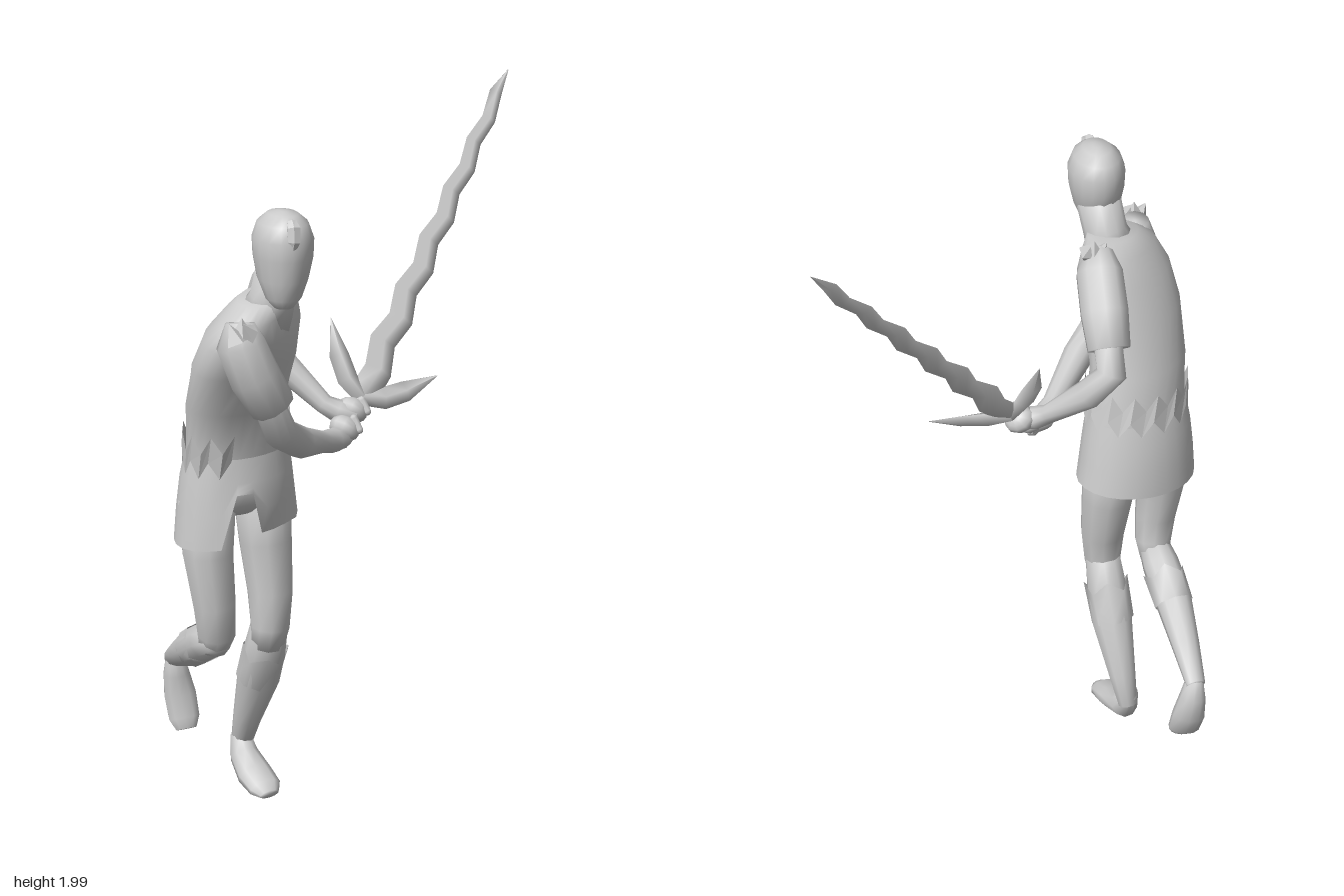
import * as THREE from 'three';

const V = (x, y, z) => new THREE.Vector3(x, y, z);
const material = new THREE.MeshStandardMaterial({ color: 0xcccccc, side: THREE.DoubleSide });
const facetMaterial = new THREE.MeshStandardMaterial({ color: 0xcccccc, side: THREE.DoubleSide, flatShading: true });

function addMesh(parent, name, geometry, mat = material) {
  const mesh = new THREE.Mesh(geometry, mat);
  mesh.name = name;
  parent.add(mesh);
  return mesh;
}

// Skin a stack of equal rings, optionally capped; skip leaves faces out
function loft(rings, { caps = true, skip = () => false } = {}) {
  const n = rings[0].length, pos = [], idx = [];
  rings.forEach(r => r.forEach(p => pos.push(p.x, p.y, p.z)));
  for (let i = 0; i < rings.length - 1; i++) for (let j = 0; j < n; j++) {
    if (skip(j, n)) continue;
    const k = (j + 1) % n, a = i * n + j, b = i * n + k;
    idx.push(a, b, b + n, a, b + n, a + n);
  }
  if (caps) [0, rings.length - 1].forEach((i, end) => {
    const c = rings[i].reduce((s, p) => s.add(p), V(0, 0, 0)).divideScalar(n);
    const centre = pos.length / 3;
    pos.push(c.x, c.y, c.z);
    for (let j = 0; j < n; j++) {
      const a = i * n + j, b = i * n + (j + 1) % n;
      end ? idx.push(a, b, centre) : idx.push(b, a, centre);
    }
  });
  const g = new THREE.BufferGeometry();
  g.setAttribute('position', new THREE.Float32BufferAttribute(pos, 3));
  g.setIndex(idx);
  g.computeVertexNormals();
  return g;
}

// Rings square to a path of [x, y, z, radius, radius along ref]
function limbRings(path, sides = 10, ref = V(1, 0, 0)) {
  return path.map((p, i) => {
    const q = path[Math.max(i - 1, 0)], r = path[Math.min(i + 1, path.length - 1)];
    const t = V(r[0] - q[0], r[1] - q[1], r[2] - q[2]).normalize();
    const v = ref.clone().addScaledVector(t, -ref.dot(t)).normalize();
    const u = v.clone().cross(t);
    return Array.from({ length: sides }, (_, j) => {
      const a = j / sides * Math.PI * 2;
      return V(p[0], p[1], p[2]).addScaledVector(u, Math.cos(a) * p[3])
        .addScaledVector(v, Math.sin(a) * (p[4] ?? p[3]));
    });
  });
}
const limb = (path, sides, ref) => loft(limbRings(path, sides, ref));

// Level ring, vertex 0 at the front: height, centre, yaw, half width, half depth, side slope
function bodyRing([y, x, z, yaw, w, d, slope = 0], sides = 24) {
  const s = Math.sin(yaw * Math.PI / 180), c = Math.cos(yaw * Math.PI / 180);
  return Array.from({ length: sides }, (_, j) => {
    const a = j / sides * Math.PI * 2, f = Math.cos(a) * d, l = Math.sin(a) * w;
    return V(x + s * f + c * l, y + slope * l, z + c * f - s * l);
  });
}

function buildBody(model) {
  addMesh(model, 'torso', loft([
    [1.0, -0.345, 0.16, 35, 0.168, 0.122], [1.1, -0.34, 0.165, 36, 0.158, 0.115],
    [1.24, -0.345, 0.205, 44, 0.158, 0.12], [1.38, -0.325, 0.265, 56, 0.178, 0.13, 0.08],
    [1.48, -0.305, 0.3, 62, 0.192, 0.118, 0.15], [1.54, -0.29, 0.32, 62, 0.175, 0.085, 0.18],
    [1.575, -0.275, 0.335, 55, 0.09, 0.065, 0.12],
  ].map(r => bodyRing(r))));

  // Short skirt, split at the front, its left flap tucked in
  const skirt = [
    [0.86, -0.345, 0.155, 35, 0.193, 0.143, 0.12], [0.95, -0.345, 0.158, 35, 0.183, 0.138, 0.06],
    [1.03, -0.343, 0.16, 35, 0.173, 0.13], [1.1, -0.34, 0.165, 36, 0.162, 0.118],
  ].map(r => bodyRing(r));
  for (const j of [22, 23]) {
    skirt[0][j].y = 1.0;
    skirt[1][j].y = 1.015;
  }
  for (const j of [0, 1, 2]) skirt[0][j].lerp(V(-0.33, 0.88, 0.16), 0.25 - j * 0.07);
  addMesh(model, 'skirt', loft(skirt, { caps: false }));
  addMesh(model, 'pelvis', loft([
    [0.91, -0.345, 0.165, 35, 0.06, 0.05], [0.95, -0.345, 0.165, 35, 0.13, 0.09],
    [1.04, -0.345, 0.16, 35, 0.16, 0.115],
  ].map(r => bodyRing(r, 14))));

  // Zigzag sash round the sides and back
  const sash = [
    [1.085, -0.34, 0.165, 36, 0.169, 0.128, 0.1], [1.165, -0.342, 0.183, 40, 0.17, 0.13, 0.1],
  ].map(r => bodyRing(r, 28));
  sash.forEach(r => r.forEach((p, j) => { p.y += j % 2 ? 0.024 : -0.024; }));
  addMesh(model, 'sash', loft(sash, { caps: false, skip: (j, n) => j < 3 || j > n - 4 }), facetMaterial);
}

function buildHead(model) {
  addMesh(model, 'neck', limb([
    [-0.277, 1.51, 0.34, 0.078], [-0.255, 1.57, 0.355, 0.063], [-0.235, 1.66, 0.375, 0.064],
  ], 12));
  addMesh(model, 'head', loft([
    [1.565, -0.232, 0.425, 10, 0.026, 0.03], [1.59, -0.232, 0.418, 10, 0.048, 0.056],
    [1.64, -0.232, 0.405, 10, 0.067, 0.083], [1.7, -0.23, 0.4, 10, 0.079, 0.097],
    [1.75, -0.23, 0.402, 10, 0.081, 0.1], [1.79, -0.23, 0.4, 10, 0.067, 0.087],
    [1.813, -0.23, 0.4, 10, 0.04, 0.055], [1.82, -0.23, 0.4, 10, 0.012, 0.018],
  ].map(r => bodyRing(r, 16))));
  // Brow ornament: a long faceted plate
  addMesh(model, 'browOrnament', limb([
    [-0.214, 1.73, 0.487, 0.01, 0.008], [-0.21, 1.755, 0.492, 0.014, 0.018],
    [-0.21, 1.79, 0.485, 0.016, 0.02], [-0.213, 1.805, 0.47, 0.01, 0.012],
  ], 6), facetMaterial);
}

function buildArm(model, side, sleeve, forearm) {
  const arm = new THREE.Group();
  arm.name = side + 'Arm';
  addMesh(arm, 'sleeve', limb(sleeve));
  addMesh(arm, 'forearm', limb(forearm));
  model.add(arm);
}

// Cluster of blunt points on the shoulder
function buildShoulderSpikes(model, side, [x, y, z]) {
  const group = new THREE.Group();
  group.name = side + 'ShoulderSpikes';
  group.position.set(x, y, z);
  [-1, 0, 1].forEach(i => {
    const spike = addMesh(group, 'spike', new THREE.ConeGeometry(0.032, 0.055, 4), facetMaterial);
    spike.position.set(i * 0.024, 0.002 - Math.abs(i) * 0.01, -i * 0.016);
    spike.rotation.set(-i * 0.6, i, -i * 0.8);
  });
  model.add(group);
}

function buildLeg(model, side, thigh, shin, cuff, foot) {
  const leg = new THREE.Group();
  leg.name = side + 'Leg';
  addMesh(leg, 'thigh', limb(thigh));
  addMesh(leg, 'shin', limb(shin));
  addMesh(leg, 'foot', limb(foot));
  // Boot cuff with a pointed rim
  const rings = limbRings(cuff, 8);
  const up = V(cuff[0][0] - cuff[1][0], cuff[0][1] - cuff[1][1], cuff[0][2] - cuff[1][2]);
  rings[0].forEach((p, j) => p.addScaledVector(up, j % 2 ? -0.12 : 0.2));
  addMesh(leg, 'bootCuff', loft(rings, { caps: false }));
  model.add(leg);
}

function buildSword(model) {
  const sword = new THREE.Group();
  sword.name = 'sword';
  const base = V(-0.03, 1.08, 0.08), tip = V(0.54, 2, -0.55);
  const length = base.distanceTo(tip), axis = tip.clone().sub(base).normalize();
  const across = V(0.864, -0.504, 0.043);
  across.addScaledVector(axis, -across.dot(axis)).normalize();
  sword.applyMatrix4(new THREE.Matrix4().makeBasis(across, axis, across.clone().cross(axis)).setPosition(base));

  // Wavy blade with a diamond section that swells at every other bend
  const steps = 13, start = 0.14, rings = [];
  for (let i = 0; i <= steps; i++) {
    const t = i / steps, w = i === steps ? 0.001 : 0.044 * (1 - 0.6 * t);
    const shift = i === 0 || i === steps ? 0 : (i % 2 ? 1 : -1) * 0.012 * (1 - 0.5 * t);
    const y = start + (length - start) * t, d = w * (i % 2 ? 0.65 : 0.4);
    rings.push([V(shift, y, d), V(shift + w, y, 0), V(shift, y, -d), V(shift - w, y, 0)]);
  }
  addMesh(sword, 'blade', loft(rings));

  for (const s of [-1, 1]) addMesh(sword, 'guardWing', limb([
    [0, 0.13, 0, 0.022, 0.024], [s * 0.06, 0.16, 0, 0.032, 0.022],
    [s * 0.11, 0.21, 0, 0.03, 0.016], [s * 0.178, 0.298, 0, 0.001, 0.001],
  ], 4, V(0, 0, 1)));

  addMesh(sword, 'grip', new THREE.CylinderGeometry(0.016, 0.016, 0.16, 8)).position.y = 0.07;
  addMesh(sword, 'pommel', new THREE.SphereGeometry(0.022, 8, 6)).position.y = -0.012;

  // Fists closed round the grip: side, height, depth
  for (const [name, x, y, z] of [['rightFist', -0.012, 0.022, 0.012], ['leftFist', -0.008, 0.088, -0.008]]) {
    const fist = addMesh(sword, name, new THREE.SphereGeometry(1, 10, 8));
    fist.position.set(x, y, z);
    fist.scale.set(0.046, 0.035, 0.04);
    const thumb = addMesh(sword, name + 'Thumb', new THREE.CapsuleGeometry(0.012, 0.035, 3, 8));
    thumb.position.set(x + 0.022, y + 0.02, z + 0.022);
    thumb.rotation.z = 0.9;
  }
  model.add(sword);
}

export function createModel() {
  const model = new THREE.Group();
  model.name = 'swordFighter';
  buildBody(model);
  buildHead(model);

  buildArm(model, 'right',
    [[-0.35, 1.535, 0.46, 0.04], [-0.35, 1.48, 0.47, 0.068], [-0.315, 1.39, 0.465, 0.07], [-0.265, 1.3, 0.445, 0.063]],
    [[-0.29, 1.34, 0.45, 0.042], [-0.24, 1.21, 0.415, 0.046], [-0.18, 1.155, 0.33, 0.045],
      [-0.1, 1.1, 0.17, 0.031], [-0.065, 1.085, 0.115, 0.036], [-0.025, 1.085, 0.08, 0.028]]);
  buildArm(model, 'left',
    [[-0.225, 1.6, 0.19, 0.04], [-0.225, 1.56, 0.14, 0.067], [-0.235, 1.48, 0.06, 0.069], [-0.245, 1.4, -0.005, 0.062]],
    [[-0.24, 1.43, 0.02, 0.042], [-0.25, 1.35, -0.05, 0.044], [-0.19, 1.27, -0.03, 0.043],
      [-0.08, 1.165, 0.025, 0.028], [-0.04, 1.145, 0.035, 0.034], [0.01, 1.13, 0.045, 0.026]]);
  buildShoulderSpikes(model, 'right', [-0.35, 1.535, 0.515]);
  buildShoulderSpikes(model, 'left', [-0.21, 1.625, 0.155]);

  buildLeg(model, 'left',
    [[-0.27, 0.96, 0.12, 0.085], [-0.26, 0.8, 0.125, 0.077], [-0.25, 0.65, 0.145, 0.066],
      [-0.252, 0.55, 0.155, 0.057], [-0.26, 0.49, 0.14, 0.05]],
    [[-0.25, 0.57, 0.155, 0.052], [-0.265, 0.46, 0.12, 0.061], [-0.28, 0.36, 0.075, 0.063],
      [-0.31, 0.2, 0.01, 0.042], [-0.328, 0.1, -0.015, 0.03]],
    [[-0.265, 0.46, 0.118, 0.067], [-0.283, 0.36, 0.075, 0.064]],
    [[-0.33, 0.14, -0.01, 0.03], [-0.32, 0.08, 0.01, 0.045, 0.043], [-0.295, 0.047, 0.08, 0.037, 0.053],
      [-0.27, 0.031, 0.14, 0.026, 0.05], [-0.26, 0.022, 0.168, 0.013, 0.03]]);
  buildLeg(model, 'right',
    [[-0.43, 0.96, 0.2, 0.085], [-0.43, 0.8, 0.22, 0.073], [-0.415, 0.65, 0.225, 0.062],
      [-0.41, 0.56, 0.215, 0.056], [-0.415, 0.51, 0.185, 0.045]],
    [[-0.408, 0.545, 0.225, 0.045], [-0.43, 0.51, 0.15, 0.056], [-0.46, 0.455, 0.06, 0.057],
      [-0.49, 0.38, -0.08, 0.042], [-0.512, 0.32, -0.19, 0.029]],
    [[-0.44, 0.49, 0.115, 0.062], [-0.463, 0.445, 0.04, 0.059]],
    [[-0.51, 0.33, -0.175, 0.026, 0.026], [-0.505, 0.27, -0.185, 0.036, 0.04], [-0.495, 0.2, -0.185, 0.033, 0.05],
      [-0.485, 0.13, -0.165, 0.024, 0.048], [-0.48, 0.1, -0.148, 0.012, 0.032]]);

  buildSword(model);
  return model;
}
